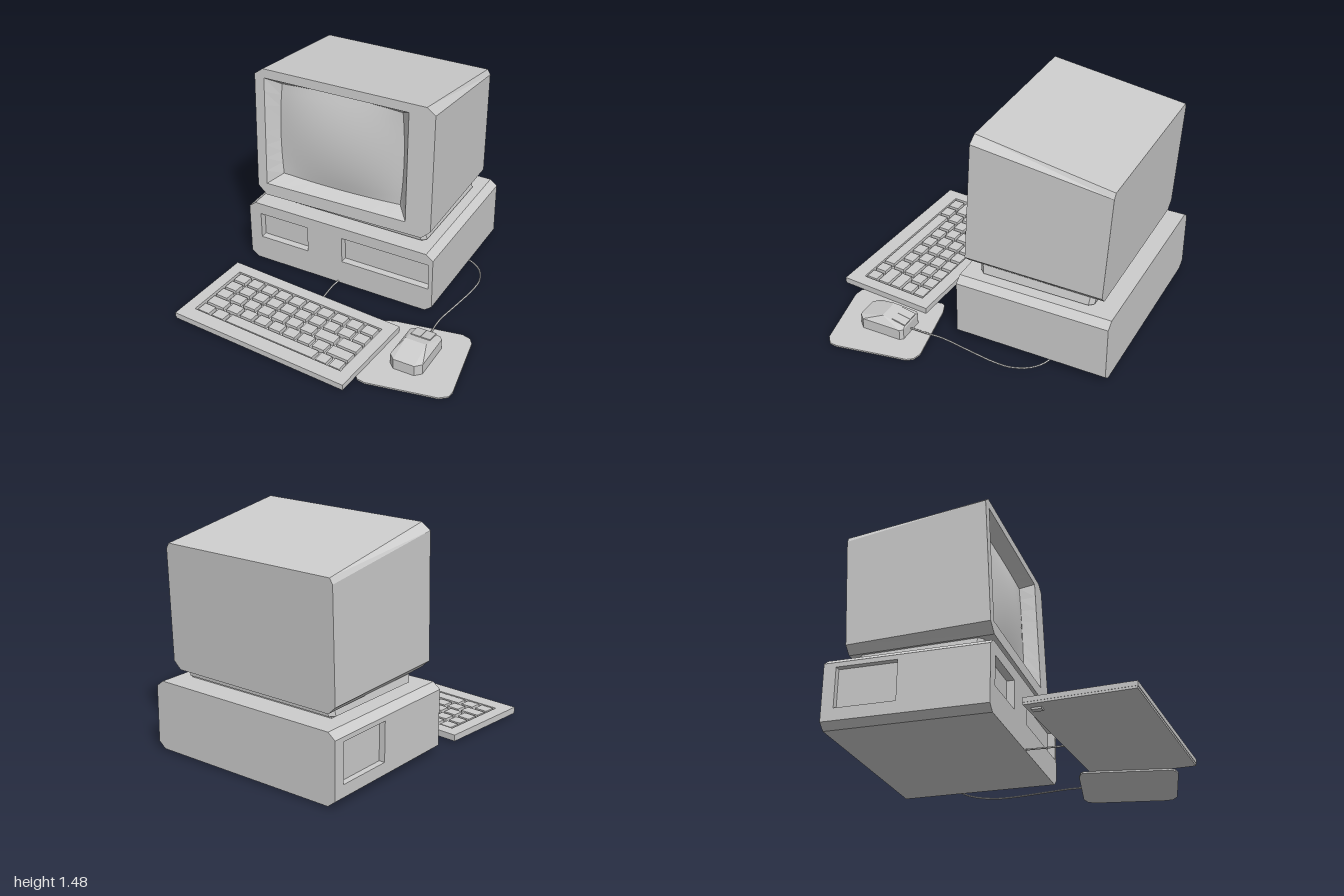
import * as THREE from 'three';
import { ConvexGeometry } from 'three/addons/geometries/ConvexGeometry.js';

const flat = new THREE.MeshStandardMaterial({ color: 0xcccccc, flatShading: true, side: THREE.DoubleSide });
const smooth = new THREE.MeshStandardMaterial({ color: 0xcccccc, side: THREE.DoubleSide });

function add(parent, name, geometry, x = 0, y = 0, z = 0, material = flat) {
  const mesh = new THREE.Mesh(geometry, material);
  mesh.name = name;
  mesh.position.set(x, y, z);
  parent.add(mesh);
  return mesh;
}

const box = (w, h, d) => new THREE.BoxGeometry(w, h, d);
const shapeOf = (pts) => new THREE.Shape(pts.map(([x, y]) => new THREE.Vector2(x, y)));
const rect = (x0, x1, y0, y1) => [[x0, y0], [x1, y0], [x1, y1], [x0, y1]];

// Rectangle with cut corners: bottom cut (bx, by), top cut (tx, ty)
const octagon = (x0, x1, y0, y1, bx, by, tx = bx, ty = by) => [
  [x0 + bx, y0], [x1 - bx, y0], [x1, y0 + by], [x1, y1 - ty],
  [x1 - tx, y1], [x0 + tx, y1], [x0, y1 - ty], [x0, y0 + by]];

// Extrude a profile with optional holes from z0 to z1
function prism(pts, z0, z1, holes = []) {
  const shape = shapeOf(pts);
  holes.forEach((h) => shape.holes.push(shapeOf(h)));
  return new THREE.ExtrudeGeometry(shape, { depth: z1 - z0, bevelEnabled: false }).translate(0, 0, z0);
}

// Skin between two rings of [x, y, z] points, with optional end caps
function loft(a, b, capA = false, capB = false) {
  const pos = [];
  const n = a.length;
  for (let i = 0; i < n; i++) {
    const j = (i + 1) % n;
    pos.push(...a[i], ...a[j], ...b[j], ...a[i], ...b[j], ...b[i]);
    if (i > 0 && i < n - 1) {
      if (capA) pos.push(...a[0], ...a[j], ...a[i]);
      if (capB) pos.push(...b[0], ...b[i], ...b[j]);
    }
  }
  const g = new THREE.BufferGeometry();
  g.setAttribute('position', new THREE.Float32BufferAttribute(pos, 3));
  g.computeVertexNormals();
  return g;
}
const atZ = (pts, z) => pts.map(([x, y]) => [x, y, z]);

function cable(parent, name, pts) {
  const curve = new THREE.CatmullRomCurve3(pts.map((p) => new THREE.Vector3(...p)));
  add(parent, name, new THREE.TubeGeometry(curve, 32, 0.006, 6), 0, 0, 0, smooth);
}

function makeComputerCase() {
  const g = new THREE.Group();
  g.name = 'computerCase';
  const outline = octagon(-0.91, 0.49, 0.01, 0.46, 0.05, 0.04);
  // Notch in the side wall
  const notched = [...outline.slice(0, 7), [-0.91, 0.39], [-0.87, 0.39], [-0.87, 0.13], [-0.91, 0.13], outline[7]];
  add(g, 'caseRear', prism(outline, -1, -0.92));
  add(g, 'caseSideRecess', prism(notched, -0.92, -0.53));
  add(g, 'caseMiddle', prism(outline, -0.53, -0.01));
  add(g, 'caseFrontWithDriveBays', prism(outline, -0.01, 0.04,
    [rect(-0.82, -0.45, 0.19, 0.38), rect(-0.185, 0.46, 0.19, 0.38)]));
  return g;
}

function makeStand() {
  const g = new THREE.Group();
  g.name = 'monitorStand';
  const lower = atZ(octagon(-0.775, 0.38, 0.07, 0.85, 0.03, 0.03), 0.475);
  const upper = atZ(octagon(-0.755, 0.355, 0.05, 0.86, 0.03, 0.03), 0.585);
  add(g, 'standBody', loft(lower, upper, true, true).rotateX(-Math.PI / 2));
  add(g, 'standFoot', box(1.1, 0.03, 0.74), -0.2, 0.465, -0.46);
  return g;
}

function makeMonitor() {
  const g = new THREE.Group();
  g.name = 'monitor';
  g.position.set(-0.203, 1.008, -0.013);
  g.rotation.set(-0.05, 0.012, 0.01);

  // Tapered housing and front frame
  const front = octagon(-0.645, 0.645, -0.465, 0.465, 0.065, 0.06, 0.06, 0.045);
  const back = octagon(-0.625, 0.625, -0.44, 0.365, 0.05, 0.05, 0.02, 0.035);
  add(g, 'monitorHousing', loft(atZ(back, -0.92), atZ(front, 0), true));
  const cx = -0.055, cy = 0.012, hw = 0.52, hh = 0.39;
  const frame = shapeOf(front);
  frame.holes.push(shapeOf(rect(cx - hw, cx + hw, cy - hh, cy + hh)));
  add(g, 'screenFrame', new THREE.ShapeGeometry(frame));

  // Barrel-edged, bulging screen
  const onScreen = (u, v) => [
    cx + u * 0.456 * (1 - 0.04 * v * v),
    cy + v * 0.345 * (1 - 0.04 * u * u),
    -0.09 + 0.05 * (1 - u * u) * (1 - v * v)];
  const screen = new THREE.PlaneGeometry(2, 2, 16, 12);
  const p = screen.attributes.position;
  for (let i = 0; i < p.count; i++) p.setXYZ(i, ...onScreen(p.getX(i), p.getY(i)));
  screen.computeVertexNormals();
  add(g, 'screen', screen, 0, 0, 0, smooth);

  // Sloping walls from the frame opening to the screen edge
  const edge = [];
  const steps = 8;
  const corners = rect(-1, 1, -1, 1);
  corners.forEach(([u, v], k) => {
    const [u2, v2] = corners[(k + 1) % 4];
    for (let i = 0; i < steps; i++) edge.push([u + (u2 - u) * i / steps, v + (v2 - v) * i / steps]);
  });
  add(g, 'screenSurround', loft(edge.map(([u, v]) => [cx + u * hw, cy + v * hh, 0]),
    edge.map(([u, v]) => onScreen(u, v))));
  return g;
}

function makeKeyboard() {
  const g = new THREE.Group();
  g.name = 'keyboard';
  g.position.set(-0.28, 0, 0.608);
  g.rotation.y = -0.075;
  add(g, 'keyboardBase', box(1.31, 0.014, 0.66), 0, 0.019, 0);
  const well = rect(-0.575, 0.575, -0.23, 0.25);
  add(g, 'keyboardRim', prism(rect(-0.657, 0.657, -0.333, 0.333), 0.026, 0.056, [well]).rotateX(-Math.PI / 2));
  for (const side of [-1, 1]) add(g, 'keyboardFoot', box(0.04, 0.014, 0.06), side * 0.58, 0.007, -0.27);

  // Key widths per row, in key pitches
  const ones = (n) => Array(n).fill(1);
  const rows = [ones(10), ones(10), [...ones(7), 1.5, 1.5], [1.4, ...ones(7), 1.6], [1, 1, 6.2, 0.9, 0.9]];
  const pitch = 0.114, rowPitch = 0.095;
  rows.forEach((row, r) => {
    let x = -0.57;
    for (const w of row) {
      const width = w * pitch;
      add(g, 'key', box(width - 0.025, 0.028, rowPitch - 0.018),
        x + width / 2, 0.039, -0.25 + 0.048 + r * 0.096);
      x += width;
    }
  });
  return g;
}

function makeMouse() {
  const g = new THREE.Group();
  g.name = 'mouse';
  const pts = [];
  for (const [x, z] of octagon(0.485, 0.71, 0.325, 0.66, 0.02, 0.02, 0.04, 0.04)) {
    pts.push(new THREE.Vector3(x, 0.01, z), new THREE.Vector3(x, 0.085, z));
  }
  for (const x of [0.525, 0.67]) {
    pts.push(new THREE.Vector3(x, 0.095, 0.33), new THREE.Vector3(x, 0.132, 0.49));
  }
  add(g, 'mouseBody', new ConvexGeometry(pts));
  for (const x of [0.562, 0.631]) {
    add(g, 'mouseButton', box(0.066, 0.02, 0.1), x, 0.104, 0.379).rotation.x = -0.2;
  }
  return g;
}

export function createModel() {
  const model = new THREE.Group();
  model.name = 'desktopComputer';
  model.add(makeComputerCase(), makeStand(), makeMonitor(), makeKeyboard(), makeMouse());

  // Mouse pad with softened corners
  const pad = [[0.25, 0.28], [0.265, 0.26], [0.33, 0.235], [0.77, 0.155], [0.83, 0.17], [0.86, 0.21],
    [0.945, 0.68], [0.94, 0.73], [0.89, 0.77], [0.43, 0.86], [0.37, 0.85], [0.345, 0.81]];
  add(model, 'mousePad', prism(pad.map(([x, z]) => [x, -z]), 0, 0.011).rotateX(-Math.PI / 2));

  cable(model, 'mouseCable', [[0.4, 0.02, -0.61], [0.485, 0.02, -0.6], [0.58, 0.02, -0.535], [0.635, 0.02, -0.42],
    [0.638, 0.02, -0.3], [0.61, 0.02, -0.1], [0.58, 0.02, 0.1], [0.585, 0.022, 0.22], [0.6, 0.035, 0.335]]);
  cable(model, 'keyboardCable', [[-0.21, 0.02, 0], [-0.222, 0.015, 0.1], [-0.22, 0.015, 0.18], [-0.208, 0.02, 0.3]]);
  return model;
}
